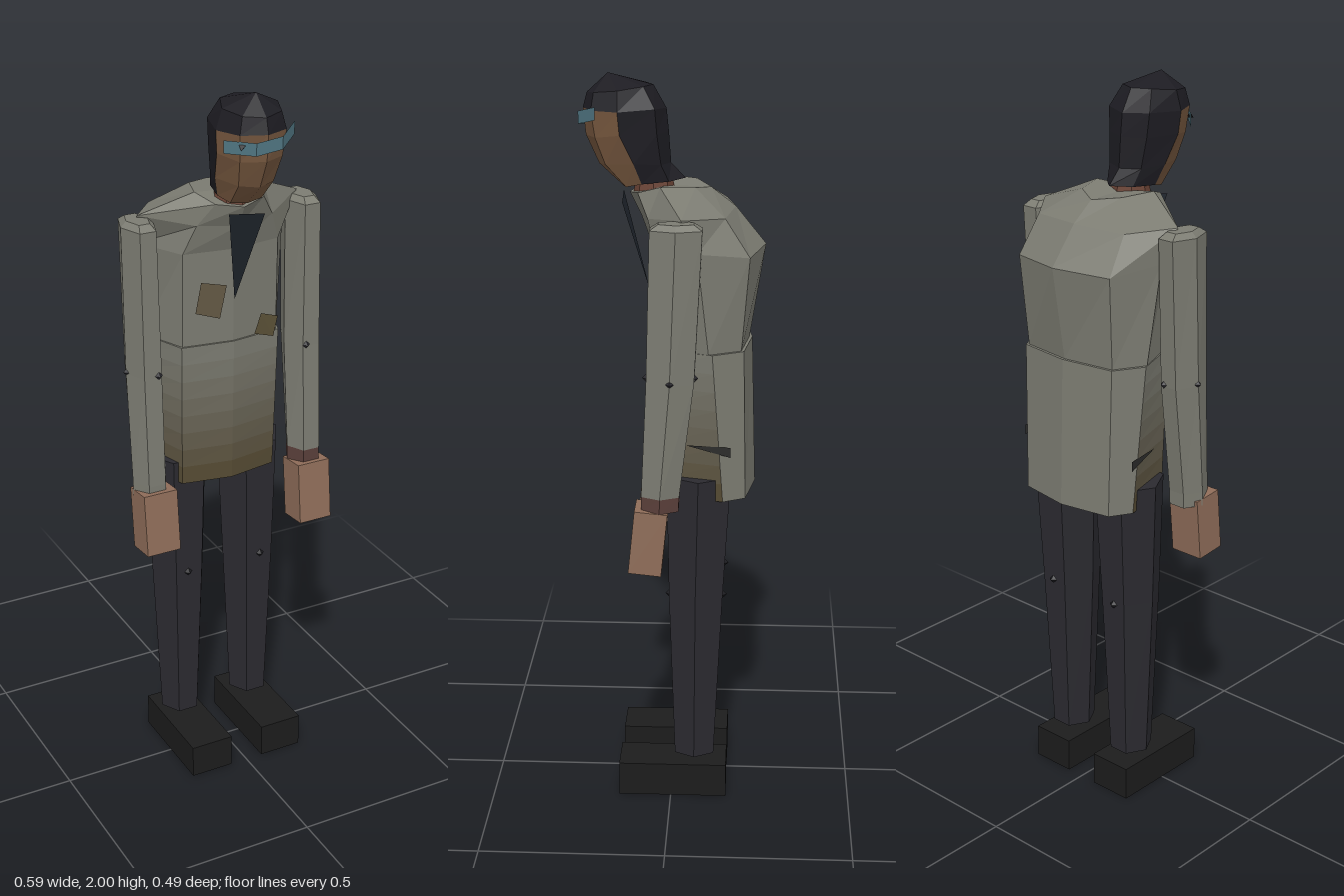
import * as THREE from 'three';

const COAT = 0x7c7c72, DARK = 0x2b2a30, SKIN = 0x8f6d59, HAIR = 0x1d1c22;

function mat(color, side = THREE.FrontSide) {
  return new THREE.MeshStandardMaterial({ color, flatShading: true, side });
}

function add(parent, name, geometry, material) {
  const mesh = new THREE.Mesh(geometry, material);
  mesh.name = name;
  parent.add(mesh);
  return mesh;
}

function fromTriangles(pos) {
  const g = new THREE.BufferGeometry();
  g.setAttribute('position', new THREE.Float32BufferAttribute(pos, 3));
  g.computeVertexNormals();
  return g;
}

// Faceted skin over closed rings; pick(row, column) selects the faces to build
function loft(rings, { pick = () => true, top = false, bottom = false } = {}) {
  const pos = [];
  const tri = (...p) => p.forEach(v => pos.push(...v));
  const n = rings[0].length;
  for (let i = 0; i < rings.length - 1; i++) {
    for (let j = 0; j < n; j++) {
      if (!pick(i, j)) continue;
      const k = (j + 1) % n, a = rings[i], b = rings[i + 1];
      tri(a[j], a[k], b[k]);
      tri(a[j], b[k], b[j]);
    }
  }
  const cap = (r, up) => {
    const c = [0, 1, 2].map(q => r.reduce((s, v) => s + v[q], 0) / n);
    for (let j = 0; j < n; j++) {
      const k = (j + 1) % n;
      up ? tri(c, r[j], r[k]) : tri(c, r[k], r[j]);
    }
  };
  if (top) cap(rings[rings.length - 1], true);
  if (bottom) cap(rings[0], false);
  return fromTriangles(pos);
}

// Full 8-point ring from 5 points running front centre -> left side -> back centre
const mirrorRing = h => [...h, ...h.slice(1, 4).reverse().map(([x, y, z]) => [-x, y, z])];

// Six-sided ring with a flat front
function hex(cx, y, cz, rx, rz) {
  return Array.from({ length: 6 }, (_, k) => {
    const a = (k - 0.5) * Math.PI / 3;
    return [cx + rx * Math.sin(a), y, cz + rz / 0.866 * Math.cos(a)];
  });
}

const lerpRing = (a, b, t) => a.map((p, j) => p.map((v, q) => v + (b[j][q] - v) * t));
const isFront = j => j < 2 || j > 5;

// Thin flat piece from a few corners
function patch(...c) {
  const pos = [];
  for (let i = 1; i < c.length - 1; i++) pos.push(...c[0], ...c[i], ...c[i + 1]);
  return fromTriangles(pos);
}

function buildCoat(g) {
  const torso = [
    [[0, 1.3, 0.055], [0.14, 1.3, 0.035], [0.195, 1.3, -0.1], [0.15, 1.3, -0.185], [0, 1.3, -0.205]],
    [[0, 1.56, 0.06], [0.14, 1.56, 0.04], [0.215, 1.57, -0.07], [0.16, 1.55, -0.205], [0, 1.555, -0.246]],
    [[0, 1.63, 0.085], [0.11, 1.64, 0.062], [0.235, 1.66, -0.03], [0.15, 1.65, -0.14], [0, 1.655, -0.165]],
    [[0, 1.69, 0.115], [0.07, 1.7, 0.09], [0.1, 1.72, 0.03], [0.07, 1.715, -0.06], [0, 1.705, -0.1]],
  ].map(mirrorRing);
  add(g, 'coatTop', loft(torso, { top: true, bottom: true }), mat(COAT));

  // Skirt: plain behind, stained in bands toward the front hem
  const hem = mirrorRing([[0, 0.89, 0.05], [0.14, 0.89, 0.025], [0.183, 0.89, -0.14], [0.15, 0.89, -0.2], [0, 0.89, -0.225]]);
  const waist = mirrorRing([[0, 1.3, 0.06], [0.145, 1.3, 0.04], [0.2, 1.3, -0.11], [0.155, 1.3, -0.192], [0, 1.3, -0.213]]);
  add(g, 'coatSkirtBack', loft([hem, waist], { pick: (i, j) => !isFront(j), top: true, bottom: true }), mat(COAT));
  const bands = 8;
  for (let b = 0; b < bands; b++) {
    const color = new THREE.Color(0x574c34).lerp(new THREE.Color(COAT), b / (bands - 1));
    const rings = [lerpRing(hem, waist, b / bands), lerpRing(hem, waist, (b + 1) / bands)];
    add(g, 'coatSkirtFront', loft(rings, { pick: (i, j) => isFront(j) }), mat(color));
  }

  // Shirt opening, cloth patches and pocket slits
  const two = c => mat(c, THREE.DoubleSide);
  add(g, 'shirtFront', patch([-0.055, 1.685, 0.135], [0, 1.42, 0.062], [0.05, 1.67, 0.132]), two(0x20262e));
  add(g, 'chestPatch', patch([-0.1, 1.485, 0.066], [-0.115, 1.4, 0.062], [-0.045, 1.375, 0.066], [-0.025, 1.465, 0.066]), two(0x655a45));
  add(g, 'waistPatch', patch([0.08, 1.365, 0.062], [0.06, 1.31, 0.062], [0.12, 1.29, 0.058], [0.135, 1.345, 0.055]), two(0x5c5238));
  for (const s of [1, -1]) {
    add(g, 'pocketSlit', patch([s * 0.172, 1.045, -0.04], [s * 0.197, 1.048, -0.16], [s * 0.197, 1.02, -0.16]), two(0x2c2c2b));
  }
}

function buildArm(s, drop) {
  const arm = new THREE.Group();
  arm.name = s > 0 ? 'leftArm' : 'rightArm';
  const rings = [
    hex(s * 0.238, 0.89, 0.024, 0.049, 0.049),
    hex(s * 0.238, 0.93, 0.023, 0.049, 0.05),
    hex(s * 0.238, 1.24, -0.003, 0.05, 0.062),
    hex(s * 0.24, 1.64, -0.018, 0.046, 0.067),
    hex(s * 0.24, 1.655, -0.018, 0.03, 0.045),
  ];
  add(arm, 'sleeve', loft(rings.slice(1), { top: true }), mat(COAT));
  add(arm, 'cuff', loft(rings.slice(0, 2), { bottom: true }), mat(s > 0 ? 0x5a3f3a : COAT));
  const hand = add(arm, 'hand', new THREE.BoxGeometry(0.098, 0.175, 0.088), mat(SKIN));
  hand.position.set(s * 0.237, 0.823 - drop, 0.055);
  hand.rotation.x = -0.1;
  // Small elbow studs
  for (const [x, z] of [[0.222, 0.06], [0.285, -0.003], [0.222, -0.064]]) {
    add(arm, 'elbowStud', new THREE.OctahedronGeometry(0.011), mat(DARK)).position.set(s * x, 1.245, z);
  }
  return arm;
}

function buildLeg(s) {
  const leg = new THREE.Group();
  leg.name = s > 0 ? 'leftLeg' : 'rightLeg';
  add(leg, 'trouser', loft([
    hex(s * 0.112, 0.118, -0.065, 0.058, 0.054),
    hex(s * 0.112, 0.6, -0.068, 0.08, 0.073),
    hex(s * 0.112, 0.95, -0.075, 0.094, 0.086),
  ], { top: true, bottom: true }), mat(DARK));
  for (const z of [0.005, -0.141]) {
    add(leg, 'kneeStud', new THREE.OctahedronGeometry(0.012), mat(0x1c1c20)).position.set(s * 0.115, 0.595, z);
  }
  add(leg, 'shoe', new THREE.BoxGeometry(0.125, 0.096, 0.3), mat(0x1c1c1c)).position.set(s * 0.112, 0.048, -0.005);
  return leg;
}

function buildHead(g) {
  const tip = Array.from({ length: 5 }, () => [0, 2, 0.17]);
  const rings = [
    [[0, 1.705, 0.13], [0.045, 1.71, 0.122], [0.06, 1.72, 0.08], [0.045, 1.725, 0.01], [0, 1.728, -0.032]],
    [[0, 1.765, 0.195], [0.05, 1.77, 0.175], [0.077, 1.775, 0.1], [0.055, 1.77, 0.03], [0, 1.768, 0.006]],
    [[0, 1.84, 0.229], [0.06, 1.84, 0.2], [0.09, 1.85, 0.135], [0.065, 1.85, 0.04], [0, 1.85, 0.012]],
    [[0, 1.91, 0.236], [0.065, 1.91, 0.21], [0.095, 1.91, 0.14], [0.07, 1.915, 0.045], [0, 1.91, 0.018]],
    [[0, 1.95, 0.225], [0.055, 1.955, 0.203], [0.078, 1.962, 0.14], [0.05, 1.97, 0.075], [0, 1.97, 0.052]],
    tip,
  ].map(mirrorRing);
  const isFace = (i, j) => i < 3 && isFront(j);
  add(g, 'face', loft(rings, { pick: isFace, bottom: true }), mat(0x77583f));
  add(g, 'hair', loft(rings, { pick: (i, j) => !isFace(i, j) }), mat(HAIR));
  add(g, 'neck', new THREE.CylinderGeometry(0.045, 0.055, 0.06, 8), mat(0x6b4436)).position.set(0, 1.72, 0.05);

  // Eye band: a thin crooked strip standing off the face
  const low = [[-0.095, 1.862, 0.18], [-0.035, 1.862, 0.24], [0.035, 1.872, 0.246], [0.095, 1.89, 0.197]];
  const pos = [];
  for (let i = 0; i < 3; i++) {
    const [a, b] = [low[i], low[i + 1]];
    const up = p => [p[0], p[1] + 0.033, p[2]];
    pos.push(...a, ...b, ...up(b), ...a, ...up(b), ...up(a));
  }
  add(g, 'eyeBand', fromTriangles(pos), mat(0x4f7480, THREE.DoubleSide));
  add(g, 'bandStud', new THREE.TetrahedronGeometry(0.011), mat(0x17171a)).position.set(-0.062, 1.882, 0.216);
}

export function createModel() {
  const model = new THREE.Group();
  model.name = 'stoopedFigure';
  buildCoat(model);
  model.add(buildArm(1, 0.018), buildArm(-1, 0), buildLeg(1), buildLeg(-1));
  const head = new THREE.Group();
  head.name = 'head';
  buildHead(head);
  model.add(head);
  return model;
}
